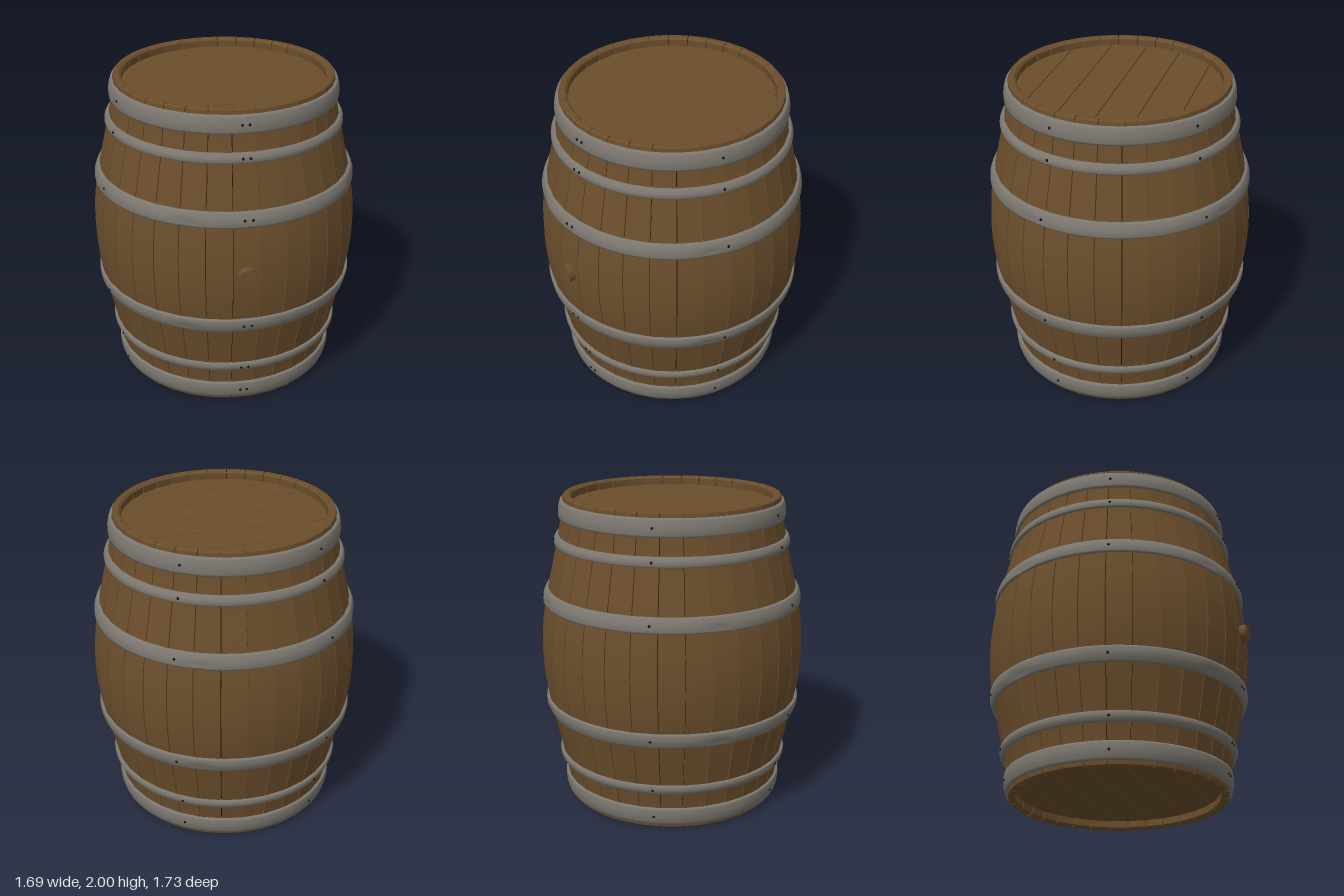
import * as THREE from 'three';
import { mergeGeometries, toCreasedNormals } from 'three/addons/utils/BufferGeometryUtils.js';

const STAVES = 32;
const GAP = 0.006;
const CENTRE_Z = -0.017;
const HALF_STEP = Math.PI / STAVES;

// Outer radius of the staves, lower half; the upper half mirrors it
const lower = [[0, 0.692], [0.14, 0.706], [0.31, 0.738], [0.6, 0.803], [0.8, 0.838]];
const outline = new THREE.SplineCurve([
  ...lower.map(([y, r]) => new THREE.Vector2(r, y)),
  new THREE.Vector2(0.85, 1),
  ...lower.slice().reverse().map(([y, r]) => new THREE.Vector2(r, 2 - y)),
]).getPoints(28);

function radiusAt(y) {
  for (let i = 1; i < outline.length; i++) {
    const a = outline[i - 1], b = outline[i];
    if (y <= b.y) return THREE.MathUtils.lerp(a.x, b.x, (y - a.y) / (b.y - a.y));
  }
  return outline[outline.length - 1].x;
}

// One stave: its side profile extruded, then widened in step with the radius
function staveGeometry() {
  const k = Math.cos(HALF_STEP);
  const outer = outline.slice(1, -1).map((p) => new THREE.Vector2(p.x * k, p.y));
  const end = [[0.682, 0], [0.65, 0], [0.637, 0.012], [0.637, 0.1]];
  const shape = new THREE.Shape([
    new THREE.Vector2(0.688, 0.006),
    ...outer,
    new THREE.Vector2(0.688, 1.994),
    ...end.map(([r, y]) => new THREE.Vector2(r, 2 - y)),
    new THREE.Vector2(0.77, 1),
    ...end.slice().reverse().map(([r, y]) => new THREE.Vector2(r, y)),
  ]);
  const geo = new THREE.ExtrudeGeometry(shape, { depth: 1, bevelEnabled: false });
  const pos = geo.attributes.position;
  for (let i = 0; i < pos.count; i++) {
    const width = 2 * pos.getX(i) * Math.tan(HALF_STEP) - GAP;
    pos.setZ(i, (pos.getZ(i) - 0.5) * width);
  }
  return toCreasedNormals(geo, 0.5).rotateY(-Math.PI / 2);
}

// One head plank: a strip of the disc between two depths
function plankGeometry(z0, z1, radius) {
  const right = [], left = [];
  for (let i = 0; i <= 12; i++) {
    const z = THREE.MathUtils.lerp(z0, z1, i / 12);
    const x = Math.sqrt(Math.max(0, radius * radius - z * z));
    right.push(new THREE.Vector2(x, z));
    left.unshift(new THREE.Vector2(-x, z));
  }
  const geo = new THREE.ExtrudeGeometry(new THREE.Shape([...right, ...left]), { depth: 0.04, bevelEnabled: false });
  return geo.rotateX(Math.PI / 2);
}

// One hoop: a slightly bulging band, optionally with four shallow dents
function hoopGeometry(y0, y1, dented) {
  const points = [new THREE.Vector2(radiusAt(y0) - 0.01, y0)];
  for (let i = 0; i <= 8; i++) {
    const t = i / 8;
    const y = THREE.MathUtils.lerp(y0, y1, t);
    points.push(new THREE.Vector2(radiusAt(y) + 0.013 + 0.009 * Math.sin(Math.PI * t), y));
  }
  points.push(new THREE.Vector2(radiusAt(y1) - 0.01, y1));
  const geo = new THREE.LatheGeometry(points, 96);
  if (dented) {
    const pos = geo.attributes.position;
    for (let i = 0; i < pos.count; i++) {
      const x = pos.getX(i), y = pos.getY(i), z = pos.getZ(i);
      let a = (Math.atan2(x, z) + THREE.MathUtils.degToRad(25)) % (Math.PI / 2);
      if (a < 0) a += Math.PI / 2;
      a = Math.min(a, Math.PI / 2 - a);
      const v = (y - y0) / (y1 - y0) - 0.3;
      const push = 1 - 0.014 * Math.exp(-(a * a) / 0.005 - (v * v) / 0.1);
      pos.setXYZ(i, x * push, y, z * push);
    }
    geo.computeVertexNormals();
  }
  return geo;
}

export function createModel() {
  const wood = new THREE.MeshStandardMaterial({ name: 'wood', color: 0x6b4e2c });
  const iron = new THREE.MeshStandardMaterial({ name: 'iron', color: 0x7c7870 });
  const dark = new THREE.MeshStandardMaterial({ name: 'dark gap', color: 0x1c140b });
  const model = new THREE.Group();
  model.name = 'barrel';
  const body = new THREE.Group();
  body.name = 'body';
  body.position.z = CENTRE_Z;
  model.add(body);

  const add = (name, geometry, material, parent = body) => {
    const mesh = new THREE.Mesh(geometry, material);
    mesh.name = name;
    parent.add(mesh);
    return mesh;
  };

  // Ring of staves
  const stave = staveGeometry();
  const ring = [];
  for (let i = 0; i < STAVES; i++) ring.push(stave.clone().rotateY(i * 2 * HALF_STEP));
  add('staves', mergeGeometries(ring), wood);

  // Dark core seen through the seams
  const core = outline.filter((p) => p.y > 0.11 && p.y < 1.89).map((p) => new THREE.Vector2(p.x - 0.03, p.y));
  core.unshift(new THREE.Vector2(0, 0.11), new THREE.Vector2(0.65, 0.11));
  core.push(new THREE.Vector2(0.65, 1.89), new THREE.Vector2(0, 1.89));
  add('innerCore', new THREE.LatheGeometry(core, 48), dark);

  // Planked heads, top and bottom
  const cuts = [-0.645, -0.473, -0.238, -0.005, 0.228, 0.462, 0.645];
  const planks = [];
  for (let i = 1; i < cuts.length; i++) {
    planks.push(plankGeometry(cuts[i - 1] + GAP / 2, cuts[i] - GAP / 2, 0.645));
  }
  const head = mergeGeometries(planks);
  add('topHead', head, wood).position.y = 1.945;
  add('bottomHead', head, wood).position.y = 0.095;

  // Hoops with rivets, mirrored about the middle
  const hoops = [[0.03, 0.14, false], [0.25, 0.31, false], [0.59, 0.685, true]];
  const rivets = [];
  for (const [a, b, dented] of hoops) {
    for (const [y0, y1] of [[a, b], [2 - b, 2 - a]]) {
      add('hoop', hoopGeometry(y0, y1, dented), iron);
      const y = (y0 + y1) / 2;
      for (const degrees of [-1, 2.4, 72, 144, 216, 288]) {
        const rivet = new THREE.CylinderGeometry(0.008, 0.01, 0.012, 8);
        rivet.rotateX(Math.PI / 2).translate(0, y, radiusAt(y) + 0.02);
        rivets.push(rivet.rotateY(THREE.MathUtils.degToRad(degrees)));
      }
    }
  }
  add('rivets', mergeGeometries(rivets), dark);

  // Bung on the front
  const bung = new THREE.CylinderGeometry(0.056, 0.06, 0.07, 20).rotateX(Math.PI / 2);
  add('bung', bung, wood, model).position.set(0, 1.003, 0.834);
  return model;
}
